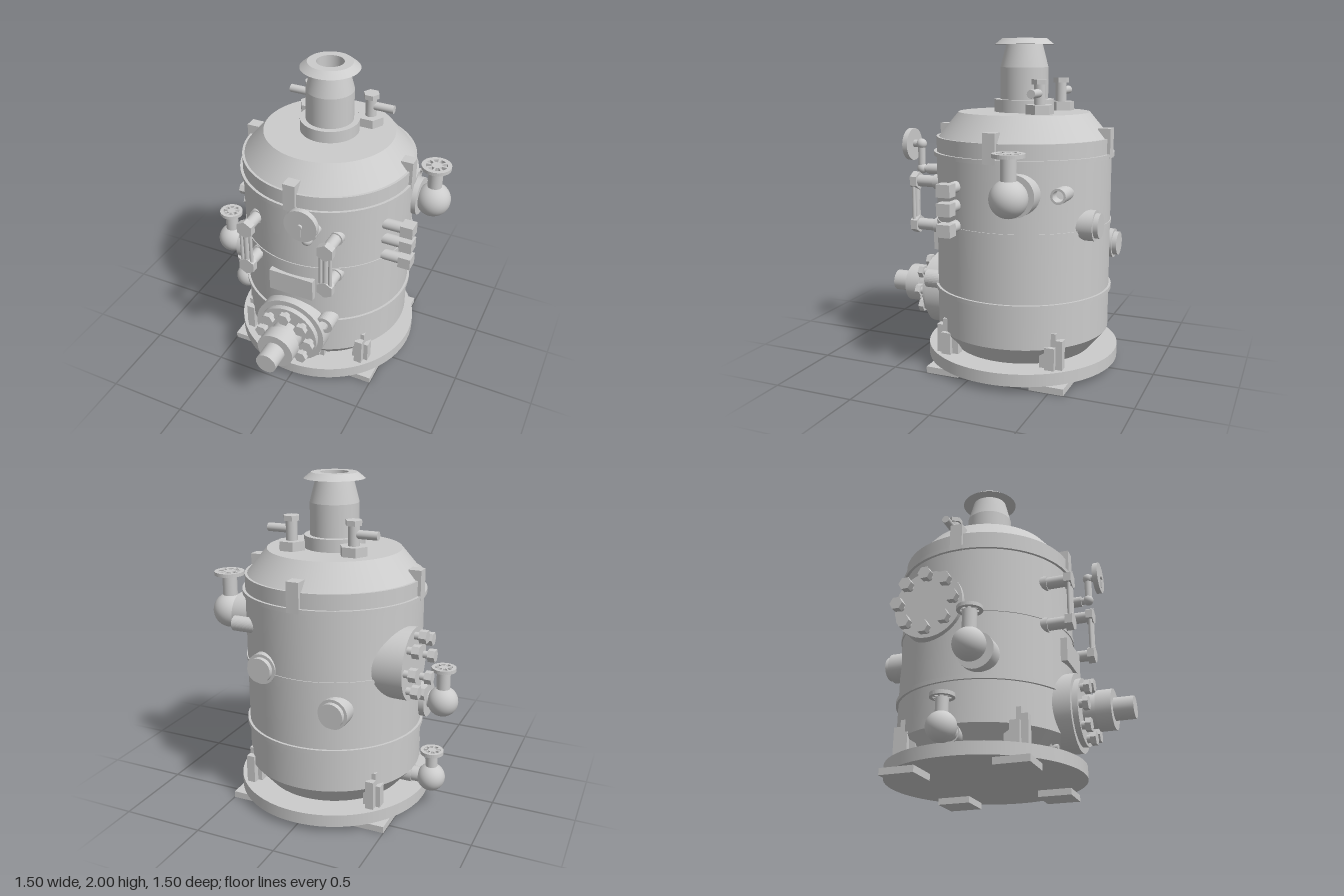
import * as THREE from 'three';

const CZ = -0.155; // z of the boiler axis
const mat = new THREE.MeshStandardMaterial({ color: 0xcccccc });
const flat = new THREE.MeshStandardMaterial({ color: 0xcccccc, flatShading: true });

export function createModel() {
  const root = new THREE.Group();

  const add = (name, geo, x, y, z, parent = root, m = mat) => {
    const mesh = new THREE.Mesh(geo, m);
    mesh.name = name;
    mesh.position.set(x, y, z);
    parent.add(mesh);
    return mesh;
  };
  const box = (name, x0, x1, y0, y1, z0, z1, parent) =>
    add(name, new THREE.BoxGeometry(x1 - x0, y1 - y0, z1 - z0),
      (x0 + x1) / 2, (y0 + y1) / 2, (z0 + z1) / 2, parent);
  // Cylinder along an axis from a to b; the other two coordinates come from p
  const rod = (name, axis, r, a, b, p, { sides = 40, parent = root, turn = 0 } = {}) => {
    const g = new THREE.CylinderGeometry(r, r, Math.abs(b - a), sides);
    g.rotateY(turn);
    if (axis === 'x') g.rotateZ(Math.PI / 2);
    if (axis === 'z') g.rotateX(Math.PI / 2);
    const mesh = add(name, g, ...p, parent, sides <= 8 ? flat : mat);
    mesh.position[axis] = (a + b) / 2;
    return mesh;
  };
  const lathe = (name, pts) => {
    // Each segment is its own lathe so edges between them stay sharp
    const g = new THREE.Group();
    g.name = name;
    for (let i = 0; i < pts.length - 1; i++) {
      const seg = [pts[i], pts[i + 1]].map(([r, y]) => new THREE.Vector2(r, y));
      add(name + 'Section', new THREE.LatheGeometry(seg, 72), 0, 0, CZ, g);
    }
    root.add(g);
  };

  // Base plate and feet
  rod('basePlate', 'y', 0.597, 0.04, 0.115, [0, 0, CZ], { sides: 72 });
  for (const sx of [-1, 1]) for (const sz of [-1, 1]) {
    const x = sx * 0.395, z = CZ + sz * 0.33;
    box('footPad', x - 0.105, x + 0.105, 0, 0.04, z - 0.105, z + 0.105);
    const g = new THREE.Group();
    g.name = 'supportBracket';
    root.add(g);
    box('bracketPost', x - 0.025, x + 0.025, 0.115, 0.33, z - 0.03, z + 0.03, g);
    box('bracketRib', x - 0.053, x + 0.053, 0.115, 0.25, z - 0.03, z + 0.03, g);
    box('bracketWeb', x - 0.025, x + 0.025, 0.115, 0.29, z - 0.07, z + 0.07, g);
  }

  // Shell with tapered foot and shoulder, and its bands
  lathe('boilerShell', [[0.435, 0.115], [0.535, 0.235], [0.535, 1.42], [0.52, 1.42], [0.4, 1.565], [0, 1.565]]);
  for (const [y, h, r] of [[0.492, 0.025, 0.55], [0.905, 0.022, 0.541], [1.318, 0.025, 0.552]])
    rod('shellBand', 'y', r, y - h / 2, y + h / 2, [0, 0, CZ], { sides: 72 });

  // Lid clamps around the shoulder
  for (let i = 0; i < 4; i++) {
    const g = new THREE.Group();
    g.name = 'lidClamp';
    g.position.z = CZ;
    g.rotation.y = i * Math.PI / 2;
    box('clampBlock', -0.038, 0.038, 1.305, 1.48, 0.475, 0.552, g);
    root.add(g);
  }

  // Chimney
  lathe('chimney', [[0.18, 1.565], [0.18, 1.64], [0.145, 1.64], [0.145, 1.83], [0.11, 1.965],
    [0.178, 1.965], [0.135, 2], [0.082, 2], [0.082, 1.7], [0, 1.7]]);

  // Safety valves on the lid
  for (const s of [-1, 1]) {
    const p = [s * 0.195, 1.685, -0.325], turn = Math.PI / 2;
    rod('safetyValveBase', 'y', 0.083, 1.56, 1.62, p, { sides: 6, turn });
    rod('safetyValveStem', 'y', 0.034, 1.62, 1.74, p);
    rod('safetyValveCap', 'y', 0.05, 1.735, 1.765, p, { sides: 6, turn });
    rod('safetyValveOutlet', 'x', 0.025, p[0], s * 0.343, p);
  }

  // Globe valves with spoked handwheels
  const wheelGeometry = (r, h) => {
    const s = new THREE.Shape().absarc(0, 0, r, 0, Math.PI * 2);
    for (let i = 0; i < 8; i++) {
      const a = i * Math.PI / 4 + 0.13, b = (i + 1) * Math.PI / 4 - 0.13;
      const hole = new THREE.Path();
      hole.absarc(0, 0, r * 0.72, a, b, false);
      hole.absarc(0, 0, r * 0.36, b, a, true);
      hole.closePath();
      s.holes.push(hole);
    }
    const g = new THREE.ExtrudeGeometry(s, { depth: h, bevelEnabled: false, curveSegments: 20 });
    return g.rotateX(-Math.PI / 2);
  };
  const valve = (x, y, z, r, stemR, wheelY, wheelR, flangeR, flangeIn, flangeOut) => {
    const g = new THREE.Group();
    g.name = 'globeValve';
    root.add(g);
    const p = [x, y, z];
    add('valveBody', new THREE.SphereGeometry(r, 32, 24), x, y, z, g);
    rod('valveStem', 'y', stemR, y, wheelY, p, { parent: g });
    add('handwheel', wheelGeometry(wheelR, 0.022), x, wheelY, z, g);
    rod('valveFlange', 'x', flangeR, flangeIn, flangeOut, p, { parent: g });
    rod('valveNeck', 'x', r * 0.55, flangeIn, x, p, { parent: g });
  };
  valve(0.64, 1.14, -0.31, 0.108, 0.045, 1.365, 0.092, 0.12, 0.42, 0.563);
  valve(-0.655, 0.63, -0.01, 0.095, 0.042, 0.83, 0.075, 0.11, -0.42, -0.568);
  valve(-0.645, 0.185, -0.16, 0.085, 0.036, 0.345, 0.07, 0.055, -0.42, -0.53);

  // Pressure gauge on its bent pipe
  const curve = new THREE.CatmullRomCurve3([[0.53, 1.355], [0.49, 1.355], [0.475, 1.34],
    [0.475, 1.21], [0.47, 1.2], [0.36, 1.2]].map(([z, y]) => new THREE.Vector3(0.15, y, z)), false, 'catmullrom', 0.1);
  add('gaugePipe', new THREE.TubeGeometry(curve, 60, 0.023, 16), 0, 0, 0);
  add('gaugeElbow', new THREE.SphereGeometry(0.033, 20, 14), 0.15, 1.355, 0.475);
  add('gaugeElbow', new THREE.SphereGeometry(0.033, 20, 14), 0.15, 1.2, 0.472);
  rod('gaugePipeFlange', 'z', 0.033, 0.34, 0.43, [0.15, 1.2, 0]);
  rod('gaugeDial', 'z', 0.1, 0.525, 0.558, [0.15, 1.35, 0]);
  rod('gaugePin', 'z', 0.015, 0.558, 0.57, [0.15, 1.35, 0]);
  const needle = box('gaugeNeedle', 0.145, 0.155, 1.28, 1.35, 0.558, 0.563);
  needle.position.x = 0.151;

  // Water level glasses
  for (const x of [-0.26, 0.26]) {
    for (const y of [0.868, 1.14]) {
      rod('levelCock', 'z', 0.036, 0.25, 0.44, [x, y, 0]);
      rod('levelCockFoot', 'z', 0.045, 0.25, 0.325, [x, y, 0]);
      rod('levelCockNut', 'z', 0.056, 0.433, 0.477, [x, y, 0], { sides: 6 });
    }
    rod('levelGlass', 'y', 0.018, 0.87, 1.14, [x, 0, 0.457], { sides: 20 });
    for (const dx of [-0.03, 0.03])
      rod('glassGuard', 'y', 0.011, 0.87, 1.14, [x + dx, 0, 0.46], { sides: 12 });
  }

  // Front plate
  box('frontPlate', -0.146, 0.146, 0.68, 0.825, 0.34, 0.4);

  // Front bolted flange with burner
  const F = [0, 0.4, 0];
  rod('burnerFlange', 'z', 0.235, 0.3, 0.43, F, { sides: 56 });
  rod('burnerCover', 'z', 0.2, 0.43, 0.463, F, { sides: 56 });
  rod('burnerHub', 'z', 0.1, 0.46, 0.54, F);
  rod('burnerCollar', 'z', 0.12, 0.54, 0.633, F);
  rod('burnerNozzle', 'z', 0.067, 0.63, 0.75, F);
  for (let i = 0; i < 8; i++) {
    const a = i * Math.PI / 4;
    const p = [0.16 * Math.cos(a), 0.4 + 0.16 * Math.sin(a), 0];
    rod('burnerNut', 'z', 0.042, 0.487, 0.52, p, { sides: 6, turn: Math.PI / 2 });
    rod('burnerStud', 'z', 0.024, 0.45, 0.49, p, { sides: 16 });
  }

  // Small open port beside the flange
  const ring = new THREE.LatheGeometry([[0.057, 0], [0.057, 0.14], [0.032, 0.14], [0.032, 0.05], [0, 0.05]]
    .map(([r, y]) => new THREE.Vector2(r, y)), 32).toNonIndexed();
  ring.computeVertexNormals();
  add('sidePort', ring.rotateX(Math.PI / 2), 0.225, 0.51, 0.265);

  // Lower cover with bolts
  box('lowerCover', -0.18, 0.18, 0.13, 0.2, 0.2, 0.3);
  for (const x of [-0.14, 0.14]) rod('lowerCoverBolt', 'z', 0.02, 0.29, 0.33, [x, 0.165, 0], { sides: 16 });

  // Test cocks
  for (const y of [0.93, 1.05, 1.158]) {
    rod('testCockPipe', 'x', 0.034, 0.42, 0.58, [0, y, 0.077]);
    box('testCockBlock', 0.578, 0.655, y - 0.037, y + 0.037, 0.035, 0.12);
  }

  // Open outlet pipe at the rear left
  const pipe = new THREE.Shape().absarc(0, 0, 0.045, 0, Math.PI * 2);
  pipe.holes.push(new THREE.Path().absarc(0, 0, 0.032, 0, Math.PI * 2, true));
  add('outletPipe', new THREE.ExtrudeGeometry(pipe, { depth: 0.2, bevelEnabled: false, curveSegments: 20 })
    .rotateY(Math.PI / 2), 0.275, 1.14, -0.535);

  // Bolted manhole on the right side
  rod('manholeFlange', 'x', 0.213, -0.38, -0.565, [0, 0.965, -0.31], { sides: 56 });
  for (let i = 0; i < 8; i++) {
    const a = i * Math.PI / 4;
    const p = [0, 0.965 + 0.17 * Math.sin(a), -0.31 + 0.17 * Math.cos(a)];
    rod('manholeStud', 'x', 0.022, -0.55, -0.605, p, { sides: 16 });
    rod('manholeNut', 'x', 0.041, -0.597, -0.64, p, { sides: 6 });
  }

  // Rear hand holes
  for (const [x, y] of [[0.222, 0.94], [-0.222, 0.74]]) {
    rod('handHoleRing', 'z', 0.09, -0.55, -0.683, [x, y, 0]);
    rod('handHoleCover', 'z', 0.073, -0.68, -0.712, [x, y, 0]);
  }

  return root;
}
